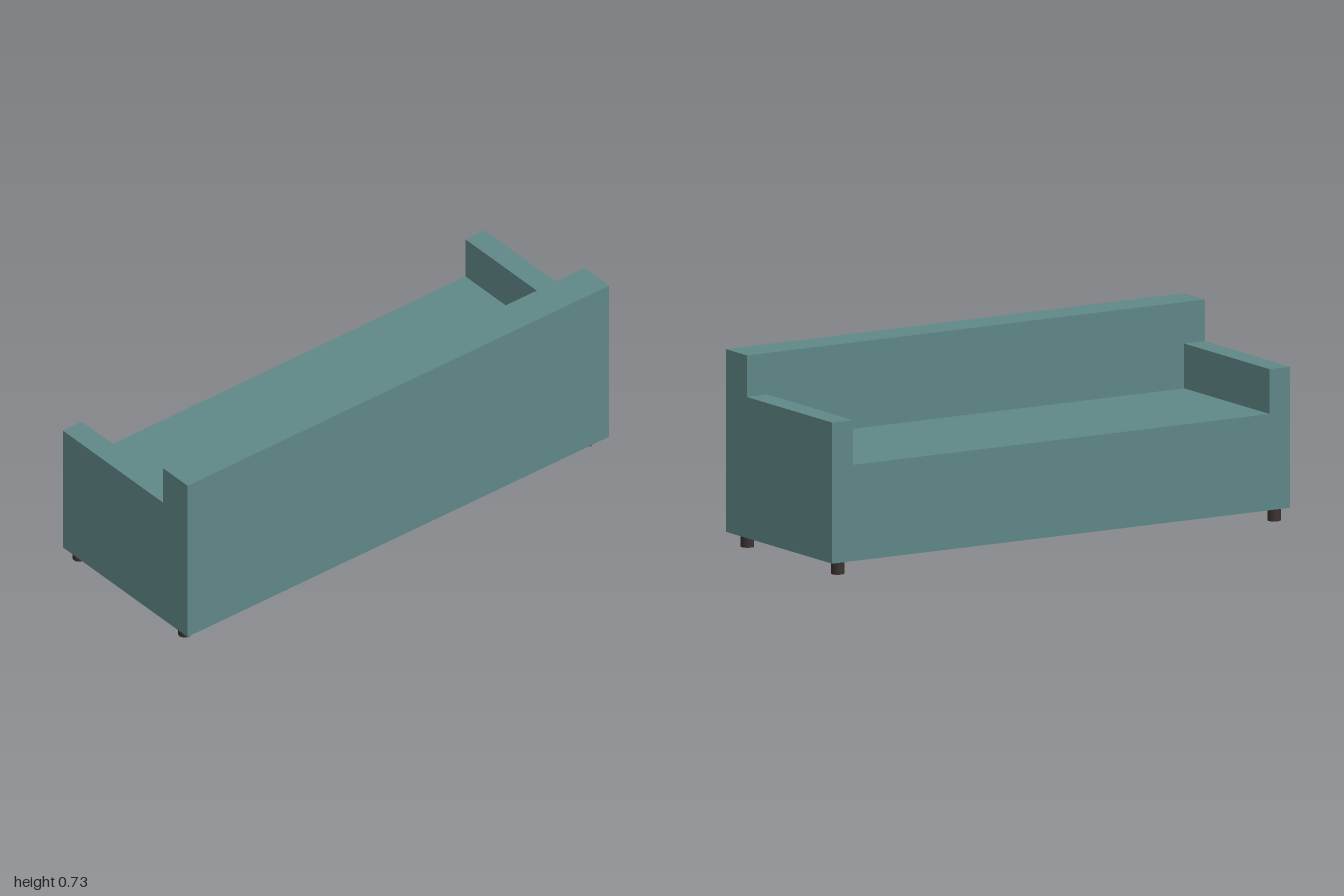
import * as THREE from 'three';

const HALF_W = 1, HALF_D = 0.364;
const BOTTOM = 0.048, SEAT = 0.409, ARM = 0.577, TOP = 0.733;
const ARM_INNER = 0.91, BACK_FRONT = 0.22;

export function createModel() {
  const fabric = new THREE.MeshStandardMaterial({ color: 0x608787 });
  fabric.name = 'teal fabric';
  const wood = new THREE.MeshStandardMaterial({ color: 0x3a3230 });
  wood.name = 'dark wood';

  const sofa = new THREE.Group();
  sofa.name = 'sofa';
  const add = (name, geometry, material, x, y, z) => {
    const mesh = new THREE.Mesh(geometry, material);
    mesh.name = name;
    mesh.position.set(x, y, z);
    sofa.add(mesh);
  };

  // Seat and both arms: one U-shaped profile extruded along the depth
  const profile = new THREE.Shape([
    [-HALF_W, BOTTOM], [HALF_W, BOTTOM], [HALF_W, ARM], [ARM_INNER, ARM],
    [ARM_INNER, SEAT], [-ARM_INNER, SEAT], [-ARM_INNER, ARM], [-HALF_W, ARM],
  ].map(([x, y]) => new THREE.Vector2(x, y)));
  const seat = new THREE.ExtrudeGeometry(profile, {
    depth: BACK_FRONT + HALF_D, bevelEnabled: false,
  });
  add('seatAndArms', seat, fabric, 0, 0, -HALF_D);

  // Backrest runs the full width, down to the underside
  const backDepth = HALF_D - BACK_FRONT;
  add('backrest', new THREE.BoxGeometry(2 * HALF_W, TOP - BOTTOM, backDepth), fabric,
    0, (TOP + BOTTOM) / 2, BACK_FRONT + backDepth / 2);

  // Four short round legs
  const leg = new THREE.CylinderGeometry(0.025, 0.025, BOTTOM, 24);
  for (const [side, x] of [['left', 0.953], ['right', -0.953]]) {
    add(side + 'BackrestLeg', leg, wood, x, BOTTOM / 2, 0.29);
    add(side + 'SeatLeg', leg, wood, x, BOTTOM / 2, -0.327);
  }
  return sofa;
}
